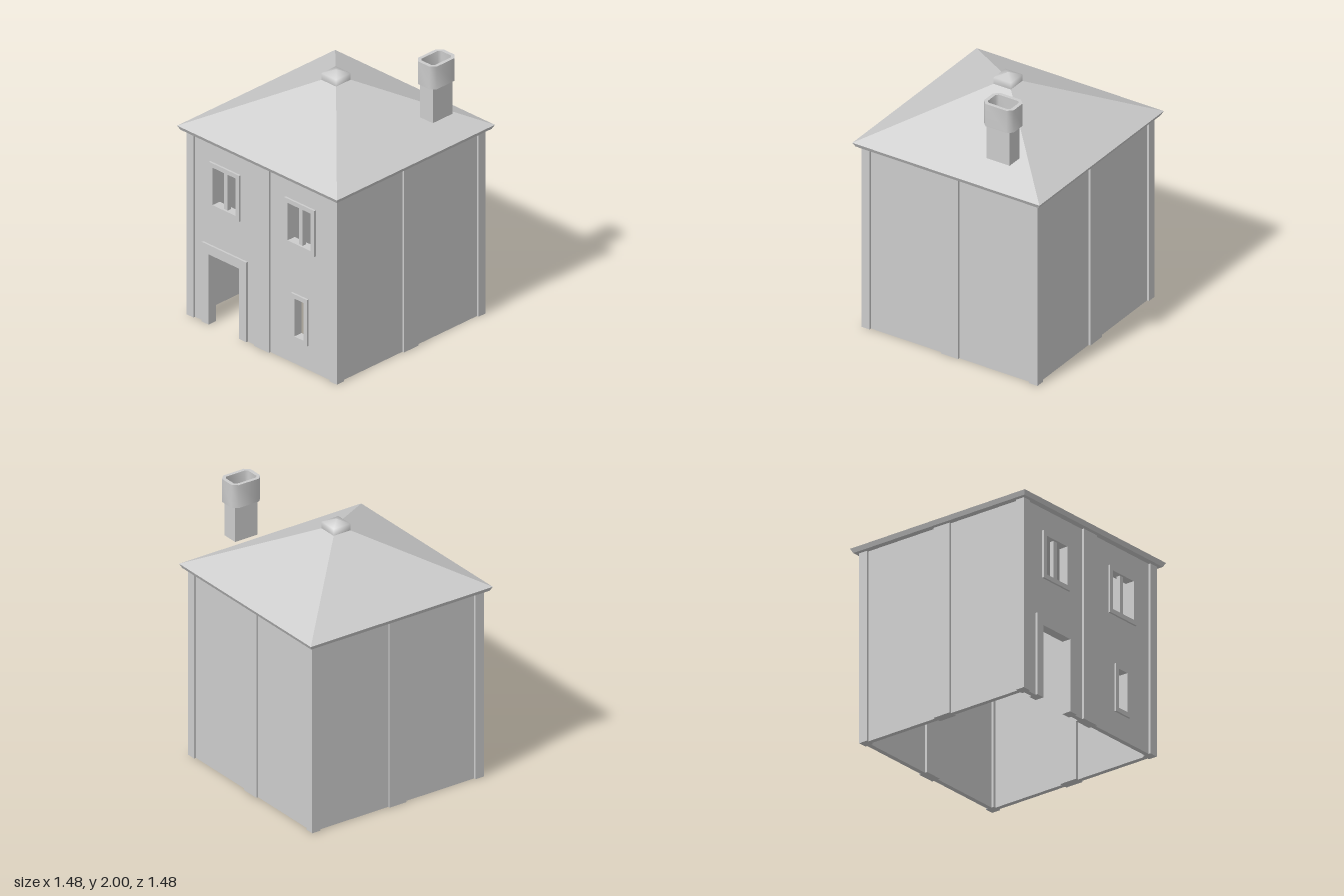
import * as THREE from 'three';
import { toCreasedNormals } from 'three/addons/utils/BufferGeometryUtils.js';

const stone = new THREE.MeshStandardMaterial({ color: 0xcccccc });
stone.name = 'stone grey';

export function createModel() {
  const house = new THREE.Group();
  house.name = 'house';

  const add = (name, geometry, parent = house) => {
    const mesh = new THREE.Mesh(geometry, stone);
    mesh.name = name;
    parent.add(mesh);
    return mesh;
  };
  // Box given by its limits on each axis
  const box = (name, x0, x1, y0, y1, z0, z1, parent) => {
    const g = new THREE.BoxGeometry(x1 - x0, y1 - y0, z1 - z0);
    g.translate((x0 + x1) / 2, (y0 + y1) / 2, (z0 + z1) / 2);
    return add(name, g, parent);
  };
  const outline = (pts, Type = THREE.Shape) => new Type(pts.map(([x, y]) => new THREE.Vector2(x, y)));
  const rect = (x0, x1, y0, y1) => [[x0, y0], [x1, y0], [x1, y1], [x0, y1]];
  const extrude = (shape, depth, z) =>
    new THREE.ExtrudeGeometry(shape, { depth, bevelEnabled: false }).translate(0, 0, z);

  const wallTop = 1.39, wallZ = 0.648, wallDepth = 0.034, postIn = 0.63, postOut = 0.697;

  // Openings in the front wall: [x0, x1, y0, y1]
  const windows = [
    { name: 'upperRightWindow', hole: [-0.455, -0.24, 0.907, 1.187], mullion: true },
    { name: 'upperLeftWindow', hole: [0.24, 0.455, 0.907, 1.187], mullion: true },
    { name: 'lowerLeftWindow', hole: [0.303, 0.388, 0.212, 0.495], mullion: false },
  ];
  // Notched outline for a doorway reaching the ground
  const frontWall = outline([[-0.64, 0], [-0.49, 0], [-0.49, 0.525], [-0.21, 0.525], [-0.21, 0],
    [0.64, 0], [0.64, wallTop], [-0.64, wallTop]]);
  frontWall.holes = windows.map(w => outline(rect(...w.hole), THREE.Path));
  add('frontWall', extrude(frontWall, wallDepth, wallZ));

  // Door surround
  add('doorFrame', extrude(outline([[-0.555, 0], [-0.49, 0], [-0.49, 0.525], [-0.21, 0.525],
    [-0.21, 0], [-0.142, 0], [-0.142, 0.595], [-0.555, 0.595]]), postOut - postIn, postIn));

  // Window surrounds and mullions
  for (const { name, hole, mullion } of windows) {
    const group = new THREE.Group();
    group.name = name;
    house.add(group);
    const [x0, x1, y0, y1] = hole, b = 0.032;
    const frame = outline(rect(x0 - b, x1 + b, y0 - b, y1 + b));
    frame.holes.push(outline(rect(...hole), THREE.Path));
    add('windowFrame', extrude(frame, postOut - postIn, postIn), group);
    const c = (x0 + x1) / 2;
    if (mullion) box('mullion', c - 0.017, c + 0.017, y0, y1, 0.65, 0.68, group);
  }

  // Plain walls, middle pilasters and corner posts, turned about the house
  ['front', 'left', 'back', 'right'].forEach((side, i) => {
    const group = new THREE.Group();
    group.name = side + 'Side';
    group.rotation.y = i * Math.PI / 2;
    house.add(group);
    if (i > 0) box(side + 'Wall', -0.64, 0.64, 0, wallTop, wallZ, wallZ + wallDepth, group);
    box('pilaster', -0.068, 0.068, 0, wallTop, postIn, postOut, group);
    box('cornerPost', postIn, postOut, 0, wallTop, postIn, postOut, group);
  });

  // Square solid turned from a profile of [half width, y]
  const squareLathe = profile => new THREE.LatheGeometry(
    profile.map(([w, y]) => new THREE.Vector2(w * Math.SQRT2, y)), 4, Math.PI / 4);

  // Hipped roof with a thin sloping eave and a closed underside
  add('roof', toCreasedNormals(squareLathe([[0, 1.38], [0.725, 1.38], [0.74, 1.41], [0, 1.785]]), 0.1));
  add('roofFinial', squareLathe([[0.068, 1.745], [0.068, 1.8], [0, 1.83]]));

  // Chimney shaft and hollow pot with cut corners
  const chimney = new THREE.Group();
  chimney.name = 'chimney';
  house.add(chimney);
  box('chimneyShaft', 0.525, 0.642, 1.57, 1.84, -0.44, -0.257, chimney);
  const cutRect = (w, h, c) => [[-w + c, -h], [w - c, -h], [w, -h + c], [w, h - c],
    [w - c, h], [-w + c, h], [-w, h - c], [-w, -h + c]];
  const pot = outline(cutRect(0.087, 0.118, 0.035));
  pot.holes.push(outline(cutRect(0.062, 0.092, 0.016), THREE.Path));
  const potGeometry = extrude(pot, 0.17, 0).rotateX(-Math.PI / 2).translate(0.583, 1.83, -0.35);
  add('chimneyPot', toCreasedNormals(potGeometry, 0.9), chimney);

  return house;
}
